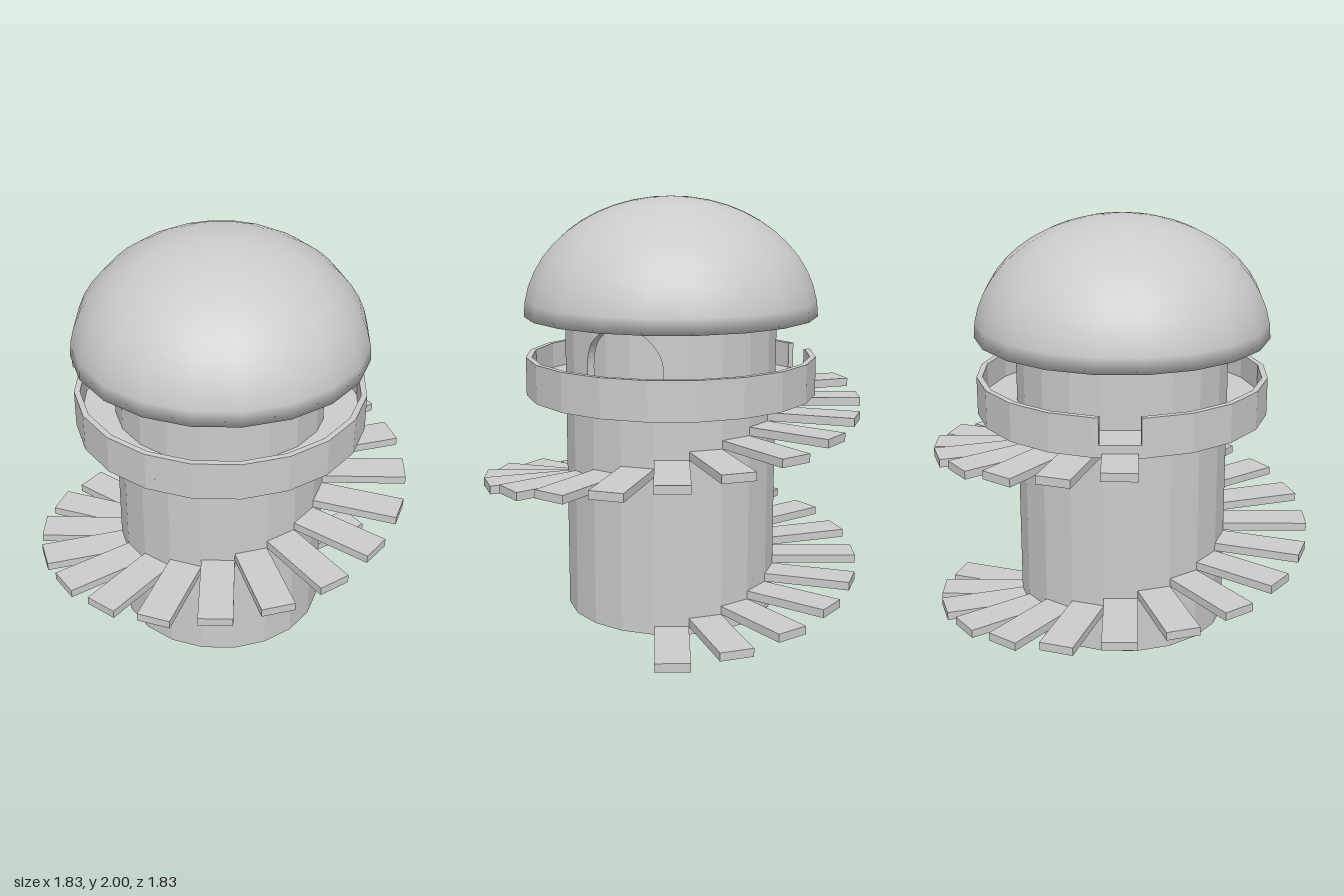
import * as THREE from 'three';

const SIDES = 20;
const STEP = (Math.PI * 2) / SIDES;
const material = new THREE.MeshStandardMaterial({ color: 0xcccccc });

// Point on a 20-sided outline of corner radius r, at angle a from +x toward +z
function outline(r, a, y) {
  const local = a - Math.floor(a / STEP + 1e-6) * STEP - STEP / 2;
  const d = (r * Math.cos(STEP / 2)) / Math.cos(local);
  return [d * Math.cos(a), y, d * Math.sin(a)];
}

// Sorted angles from a0 to a1, including every corner of the outline between them
function facetAngles(a0, a1) {
  const list = [a0];
  for (let k = Math.ceil(a0 / STEP + 1e-4); k * STEP < a1 - 1e-4; k++) list.push(k * STEP);
  list.push(a1);
  return list;
}

// Curved wall through the angles; low and high give the edge heights at an angle
function addWall(out, angles, ri, ro, low, high, ends = false) {
  const quad = (p, q, r, s) => out.push(...p, ...q, ...r, ...p, ...r, ...s);
  for (let i = 0; i < angles.length - 1; i++) {
    const a = angles[i], b = angles[i + 1];
    const corners = (r) => [
      outline(r, a, low(a)), outline(r, b, low(b)), outline(r, b, high(b)), outline(r, a, high(a)),
    ];
    const [oa, ob, obT, oaT] = corners(ro);
    const [ia, ib, ibT, iaT] = corners(ri);
    quad(ob, oa, oaT, obT);
    quad(ia, ib, ibT, iaT);
    quad(iaT, ibT, obT, oaT);
    quad(ia, oa, ob, ib);
    if (ends && i === 0) quad(oa, ia, iaT, oaT);
    if (ends && i === angles.length - 2) quad(ib, ob, obT, ibT);
  }
}

function wallMesh(name, positions) {
  const geometry = new THREE.BufferGeometry();
  geometry.setAttribute('position', new THREE.Float32BufferAttribute(positions, 3));
  geometry.computeVertexNormals();
  const mesh = new THREE.Mesh(geometry, material);
  mesh.name = name;
  return mesh;
}

export function createModel() {
  const model = new THREE.Group();
  model.name = 'tower';
  const full = Math.PI * 2;
  const level = (y) => () => y;

  // Hollow tower with an arched doorway facing +x
  const ri = 0.47, ro = 0.51, floorTop = 1.12, roofBase = 1.44;
  const doorHalf = 0.196, archBase = 1.24;
  const doorAngle = Math.asin(doorHalf / 0.505);
  const tower = [];
  addWall(tower, facetAngles(0, full), ri, ro, level(0), level(floorTop));
  addWall(tower, facetAngles(doorAngle, full - doorAngle), ri, ro, level(floorTop), level(roofBase), true);
  const archAngles = [];
  for (let i = 0; i <= 20; i++) archAngles.push(doorAngle * -Math.cos((Math.PI * i) / 20));
  const arch = (a) => archBase + doorHalf * Math.sqrt(Math.max(0, 1 - (a / doorAngle) ** 2));
  addWall(tower, archAngles, ri, ro, arch, level(roofBase));
  model.add(wallMesh('towerWall', tower));

  // Balcony floor, and a parapet with a gap where the stairs arrive
  const floor = [];
  addWall(floor, facetAngles(0, full), 0.5, 0.7, level(1.06), level(floorTop));
  model.add(wallMesh('balconyFloor', floor));
  const gapCentre = Math.PI * 1.25, gapHalf = 0.135;
  const parapet = [];
  addWall(parapet, facetAngles(gapCentre + gapHalf - full, gapCentre - gapHalf),
    0.672, 0.7, level(floorTop), level(1.245), true);
  model.add(wallMesh('balconyParapet', parapet));

  // Flattened dome with a closed underside
  const profile = [new THREE.Vector2(0, roofBase)];
  for (let i = 0; i <= 12; i++) {
    const t = (i / 12) * (Math.PI / 2);
    profile.push(new THREE.Vector2(i === 12 ? 0 : 0.705 * Math.cos(t), roofBase + 0.56 * Math.sin(t)));
  }
  const dome = new THREE.Mesh(new THREE.LatheGeometry(profile, SIDES), material);
  dome.name = 'domeRoof';
  model.add(dome);

  // Spiral staircase, one step per facet
  const stairs = new THREE.Group();
  stairs.name = 'spiralStairs';
  const inner = 0.485, outer = 0.915, rise = 0.04;
  const stepGeometry = new THREE.BoxGeometry(outer - inner, rise, 0.16);
  stepGeometry.translate((inner + outer) / 2, rise / 2, 0);
  for (let i = 0; i < 27; i++) {
    const step = new THREE.Mesh(stepGeometry, material);
    step.name = 'step';
    step.position.y = i * rise;
    step.rotation.y = (i + 1.5) * STEP;
    stairs.add(step);
  }
  model.add(stairs);

  return model;
}
